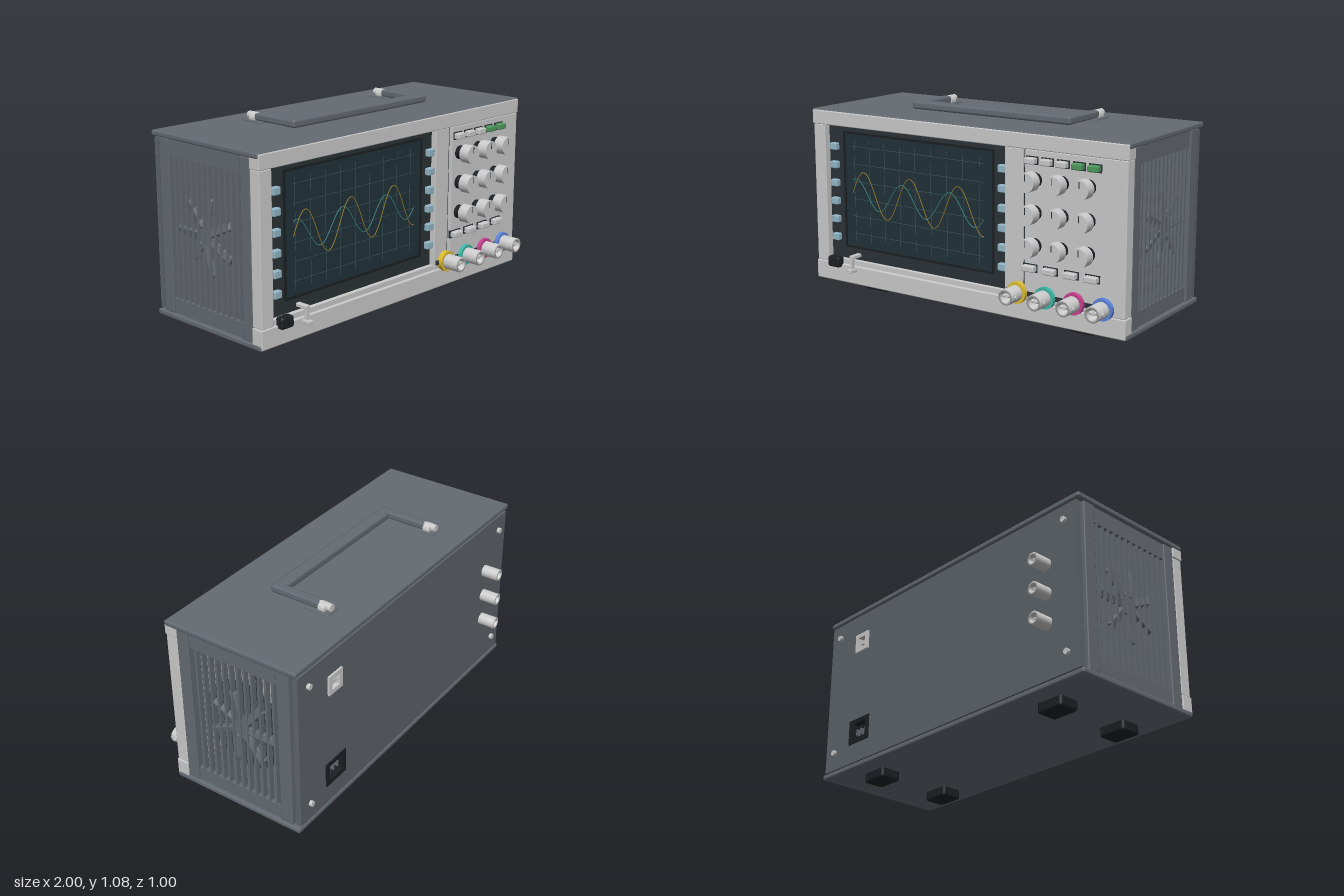
import * as THREE from 'three';
import { RoundedBoxGeometry } from 'three/addons/geometries/RoundedBoxGeometry.js';

const mat = (color) => new THREE.MeshStandardMaterial({ color });
const GREY = mat(0xcccccc), CASE = mat(0x656b73), BACK = mat(0x5f656a), DARK = mat(0x2b3236), BLACK = mat(0x1c2023),
  SCREEN = mat(0x213138), GRID = mat(0x3f6062), BLUE = mat(0x93b8c9), GREEN = mat(0x4f9a5f), YELLOW = mat(0x9c8130), TEAL = mat(0x3a8886);

export function createModel() {
  const root = new THREE.Group();
  const add = (name, geo, material, x = 0, y = 0, z = 0, parent = root) => {
    const m = new THREE.Mesh(geo, material);
    m.name = name;
    m.position.set(x, y, z);
    parent.add(m);
    return m;
  };
  // box given by its limits on each axis; r > 0 softens the edges
  const box = (name, material, [x0, x1], [y0, y1], [z0, z1], r = 0, parent = root) => {
    const s = [x1 - x0, y1 - y0, z1 - z0];
    const geo = r ? new RoundedBoxGeometry(...s, 1, r) : new THREE.BoxGeometry(...s);
    return add(name, geo, material, (x0 + x1) / 2, (y0 + y1) / 2, (z0 + z1) / 2, parent);
  };
  // cylinder along z
  const cyl = (name, material, r, x, y, z0, z1, sides = 24, parent = root) =>
    add(name, new THREE.CylinderGeometry(r, r, Math.abs(z1 - z0), sides).rotateX(Math.PI / 2), material, x, y, (z0 + z1) / 2, parent);
  // lathed part along +z; profile points are [radius, z]
  const turned = (name, material, profile, x, y, z, parent = root) =>
    add(name, new THREE.LatheGeometry(profile.map(([r, h]) => new THREE.Vector2(r, h)), 24).rotateX(Math.PI / 2), material, x, y, z, parent);
  // flat plate with rectangular holes [x0, x1, y0, y1]
  const plate = (name, material, [x0, x1, y0, y1], holes, z, depth) => {
    const rect = (P, a, b, c, d) => {
      const p = new P();
      p.moveTo(a, c); p.lineTo(b, c); p.lineTo(b, d); p.lineTo(a, d); p.closePath();
      return p;
    };
    const s = rect(THREE.Shape, x0, x1, y0, y1);
    holes.forEach((h) => s.holes.push(rect(THREE.Path, ...h)));
    return add(name, new THREE.ExtrudeGeometry(s, { depth, bevelEnabled: false }), material, 0, 0, z);
  };

  // Case shell
  box('topCover', CASE, [-1, 1], [1.0, 1.03], [-0.403, 0.387], 0.01);
  box('bottomCover', CASE, [-1, 1], [0.055, 0.085], [-0.403, 0.387], 0.01);

  // Slotted side walls with a cooling fan behind each
  for (const s of [1, -1]) {
    const side = new THREE.Group();
    side.name = s > 0 ? 'leftSide' : 'rightSide';
    root.add(side);
    const wall = (name, a, b, y, z, m = CASE, r = 0) => box(name, m, s > 0 ? [a, b] : [-b, -a], y, z, r, side);
    wall('frontPost', 0.94, 0.99, [0.085, 1.0], [0.25, 0.32], CASE, 0.006);
    wall('rearPost', 0.94, 0.99, [0.085, 1.0], [-0.355, -0.28], CASE, 0.006);
    wall('upperRail', 0.95, 0.98, [0.91, 1.0], [-0.28, 0.25]);
    wall('lowerRail', 0.95, 0.98, [0.085, 0.165], [-0.28, 0.25]);
    for (let i = 0; i < 12; i++) {
      const z = 0.217 - i * 0.0425;
      wall('grilleBar', 0.95, 0.98, [0.16, 0.915], [z - 0.0065, z + 0.0065]);
    }
    const fan = new THREE.Group();
    fan.name = 'fan';
    fan.position.set(s * 0.93, 0.54, -0.037);
    side.add(fan);
    add('fanDisc', new THREE.CylinderGeometry(0.248, 0.248, 0.02, 16).rotateZ(Math.PI / 2), DARK, 0, 0, 0, fan);
    add('fanHub', new THREE.CylinderGeometry(0.055, 0.055, 0.045, 16).rotateZ(Math.PI / 2), CASE, s * 0.02, 0, 0, fan);
    for (let i = 0; i < 7; i++) {
      const blade = new RoundedBoxGeometry(0.035, 0.045, 0.16, 1, 0.008).rotateZ(0.25).translate(s * 0.027, 0, -0.125);
      add('fanBlade', blade, CASE, 0, 0, 0, fan).rotation.x = (i * Math.PI * 2) / 7;
    }
  }

  // Rear panel with sockets
  plate('rearPanel', BACK, [-0.98, 0.98, 0.09, 0.99], [[0.61, 0.76, 0.21, 0.33], [0.655, 0.725, 0.775, 0.845]], -0.4, 0.03);
  plate('powerSocketFrame', BLACK, [0.6, 0.77, 0.2, 0.34], [[0.63, 0.74, 0.225, 0.315]], -0.406, 0.045);
  box('powerSocketBack', BLACK, [0.6, 0.77], [0.2, 0.34], [-0.366, -0.355]);
  for (const x of [0.65, 0.685, 0.72]) box('powerPin', CASE, [x - 0.005, x + 0.005], [0.25, 0.285], [-0.39, -0.36]);
  plate('dataSocketFrame', GREY, [0.635, 0.745, 0.755, 0.865], [[0.66, 0.72, 0.78, 0.84]], -0.411, 0.05);
  box('dataSocketBack', DARK, [0.64, 0.74], [0.76, 0.86], [-0.368, -0.358]);
  box('dataSocketTongue', GREY, [0.673, 0.707], [0.798, 0.822], [-0.4, -0.365]);
  for (const x of [-0.9, 0.9]) for (const y of [0.19, 0.905]) cyl('rearScrew', GREY, 0.016, x, y, -0.416, -0.395, 12);
  for (const y of [0.385, 0.545, 0.705]) {
    turned('rearConnector', GREY, [[0.034, 0], [0.034, 0.097], [0.022, 0.097], [0.022, 0.05], [0, 0.05]], -0.77, y, -0.398).rotation.y = Math.PI;
    cyl('rearConnectorPin', GREY, 0.007, -0.77, y, -0.485, -0.44, 10);
  }

  // Front frame
  box('frontTopBar', GREY, [-0.995, 0.995], [0.945, 1.024], [0.32, 0.391], 0.006);
  box('frontBottomBar', GREY, [-0.995, 0.995], [0.061, 0.165], [0.32, 0.391], 0.006);
  box('frontSideColumn', GREY, [-0.99, -0.91], [0.165, 0.945], [0.32, 0.386], 0.005);
  box('frontDivider', GREY, [0.285, 0.395], [0.165, 0.945], [0.32, 0.38], 0.005);
  box('dividerGroove', DARK, [0.39, 0.415], [0.165, 0.94], [0.32, 0.368]);
  box('controlPanel', GREY, [0.41, 0.99], [0.165, 0.945], [0.32, 0.387], 0.005);
  box('connectorStrip', DARK, [0.3, 0.93], [0.19, 0.215], [0.37, 0.389]);
  box('frontLedge', GREY, [-0.91, 0.29], [0.16, 0.192], [0.32, 0.375]);

  // Display
  box('displayBezel', DARK, [-0.912, 0.288], [0.185, 0.947], [0.325, 0.348]);
  plate('displayRim', BLACK, [-0.807, 0.202, 0.258, 0.915], [[-0.795, 0.19, 0.27, 0.903]], 0.345, 0.01);
  box('displayScreen', SCREEN, [-0.8, 0.195], [0.265, 0.908], [0.34, 0.35]);
  for (let i = 0; i < 9; i++) {
    const x = -0.73 + i * 0.105;
    box('gridLine', GRID, [x - 0.001, x + 0.001], [0.3, 0.87], [0.348, 0.351]);
  }
  for (let i = 0; i < 6; i++) {
    const y = 0.345 + i * 0.098;
    box('gridLine', GRID, [-0.745, 0.14], [y - 0.001, y + 0.001], [0.348, 0.351]);
  }
  const trace = (material, amp, phase, z) => {
    const pts = [];
    for (let i = 0; i <= 60; i++) {
      const u = (i / 60) * 0.885;
      pts.push(new THREE.Vector3(-0.745 + u, 0.573 + amp * Math.sin((u / 0.32) * Math.PI * 2 + phase), z));
    }
    add('signalTrace', new THREE.TubeGeometry(new THREE.CatmullRomCurve3(pts), 120, 0.0025, 5), material);
  };
  trace(TEAL, 0.083, 1.1, 0.352);
  trace(YELLOW, 0.123, 0, 0.354);
  for (const x of [-0.866, 0.26]) {
    for (let i = 0; i < 6; i++) {
      const y = 0.825 - i * 0.103;
      box('menuButton', BLUE, [x - 0.024, x + 0.024], [y - 0.02, y + 0.02], [0.34, 0.375], 0.006);
    }
  }

  // Control panel buttons and knobs
  const button = (material, x, y, w) => {
    box('buttonSurround', DARK, [x - w - 0.005, x + w + 0.005], [y - 0.021, y + 0.021], [0.38, 0.391]);
    box('panelButton', material, [x - w, x + w], [y - 0.016, y + 0.016], [0.38, 0.423], 0.007);
  };
  [0.455, 0.545, 0.635, 0.725, 0.815].forEach((x, i) => button(i > 2 ? GREEN : GREY, x, 0.893, 0.03));
  [0.448, 0.567, 0.688, 0.808].forEach((x) => button(GREY, x, 0.343, 0.037));
  for (const x of [0.475, 0.63, 0.782]) for (const y of [0.797, 0.631, 0.463]) {
    const knob = new THREE.Group();
    knob.name = 'knob';
    root.add(knob);
    cyl('knobBase', BLACK, 0.037, x, y, 0.385, 0.43, 20, knob);
    cyl('knobCap', GREY, 0.05, x, y, 0.426, 0.486, 20, knob);
    box('knobMark', DARK, [x - 0.002, x + 0.002], [y + 0.008, y + 0.042], [0.48, 0.487], 0, knob);
  }

  // Input connectors with coloured rings
  [[0.372, 0xdcbc30], [0.54, 0x3fb8a8], [0.708, 0xc8408f], [0.873, 0x5c84dc]].forEach(([x, color]) => {
    const plug = new THREE.Group();
    plug.name = 'inputConnector';
    root.add(plug);
    cyl('channelRing', mat(color), 0.057, x, 0.202, 0.38, 0.409, 24, plug);
    turned('connectorBarrel', GREY, [[0.042, 0], [0.042, 0.1], [0.028, 0.1], [0.028, 0.04], [0, 0.04]], x, 0.202, 0.4, plug);
    cyl('connectorPin', GREY, 0.01, x, 0.202, 0.43, 0.49, 10, plug);
    add('bayonetLug', new THREE.CylinderGeometry(0.009, 0.009, 0.1, 10).rotateZ(Math.PI / 2), GREY, x, 0.202, 0.472, plug);
  });

  // Power button and test hook
  box('powerButton', BLACK, [-0.89, -0.807], [0.145, 0.208], [0.37, 0.422], 0.014);
  box('testHookBase', GREY, [-0.731, -0.699], [0.135, 0.155], [0.37, 0.44], 0.004);
  box('testHookTop', GREY, [-0.729, -0.701], [0.21, 0.23], [0.34, 0.42], 0.004);
  box('testHookStem', GREY, [-0.722, -0.708], [0.145, 0.22], [0.40, 0.42]);

  // Feet
  for (const x of [-0.672, 0.672]) for (const z of [0.205, -0.238]) box('foot', BLACK, [x - 0.08, x + 0.08], [0, 0.065], [z - 0.061, z + 0.061], 0.014);

  // Folded carrying handle
  for (const s of [-1, 1]) {
    box('handleArm', CASE, [s * 0.482 - 0.026, s * 0.482 + 0.026], [1.035, 1.075], [-0.18, 0.1], 0.012);
    box('handleMount', CASE, [s * 0.482 - 0.046, s * 0.482 + 0.046], [1.025, 1.037], [-0.248, -0.11], 0.004);
    cyl('handlePivot', GREY, 0.021, s * 0.482, 1.055, -0.242, -0.17, 16);
    cyl('pivotCollar', GREY, 0.031, s * 0.482, 1.045, -0.215, -0.175, 16);
  }
  box('handleGrip', CASE, [-0.508, 0.508], [1.033, 1.077], [0.045, 0.118], 0.014);
  return root;
}
